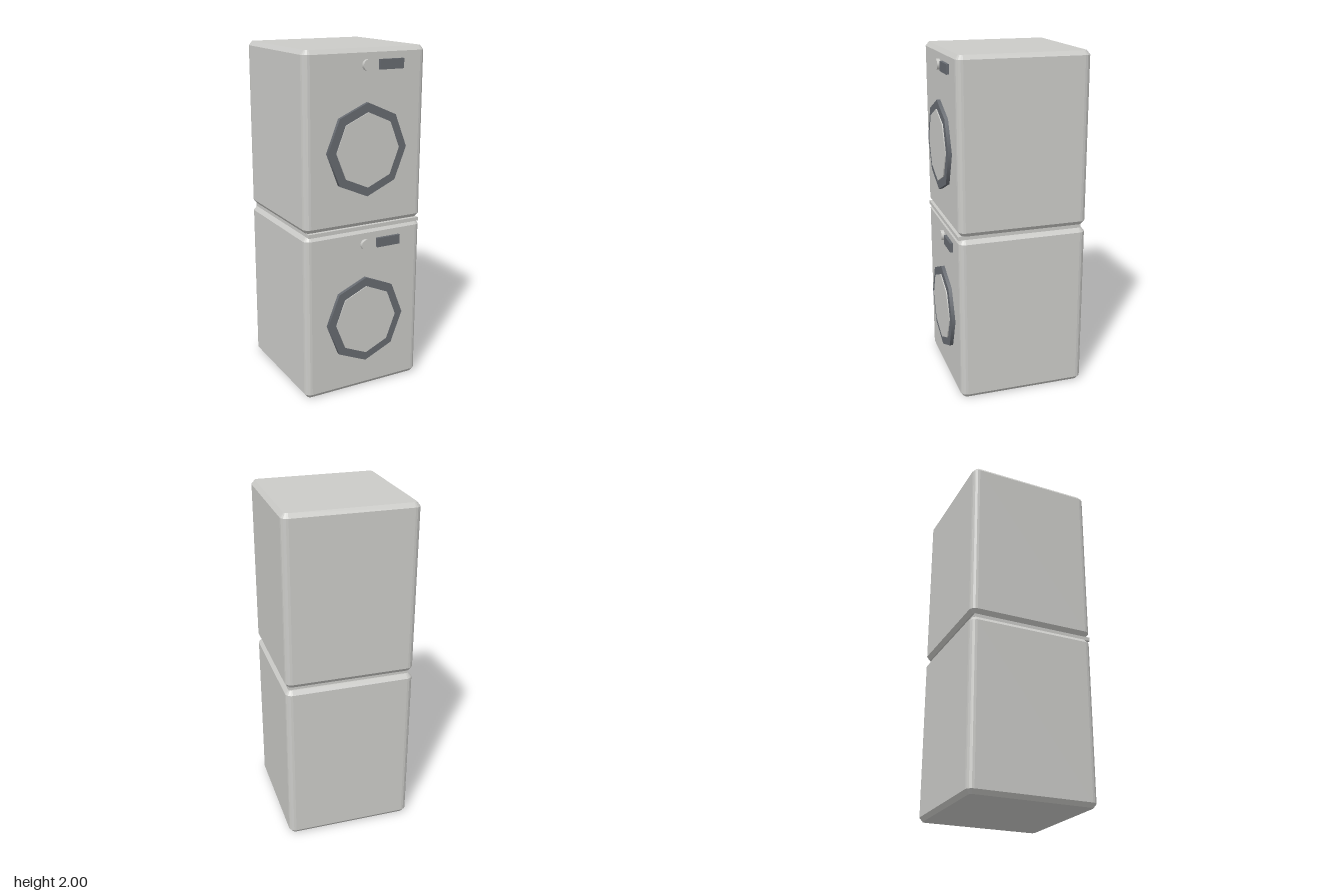
import * as THREE from 'three';

const body = new THREE.MeshStandardMaterial({ color: 0xcbcbc8 });
body.name = 'light grey enamel';
const dark = new THREE.MeshStandardMaterial({ color: 0x676b71 });
dark.name = 'dark grey trim';

function add(parent, name, geometry, material, x, y, z) {
  const mesh = new THREE.Mesh(geometry, material);
  mesh.name = name;
  mesh.position.set(x, y, z);
  parent.add(mesh);
  return mesh;
}

// Box with clipped vertical corners and chamfered top and bottom edges
function cabinetGeometry(w, h, d) {
  const bevel = 0.019, rise = 0.024, r = 0.02;
  const x = w / 2 - bevel, y = d / 2 - bevel;
  const shape = new THREE.Shape();
  shape.absarc(x - r, y - r, r, 0, Math.PI / 2);
  shape.absarc(-x + r, y - r, r, Math.PI / 2, Math.PI);
  shape.absarc(-x + r, -y + r, r, Math.PI, Math.PI * 1.5);
  shape.absarc(x - r, -y + r, r, Math.PI * 1.5, Math.PI * 2);
  const geo = new THREE.ExtrudeGeometry(shape, {
    depth: h - 2 * rise, bevelEnabled: true, bevelSize: bevel,
    bevelThickness: rise, bevelSegments: 1, curveSegments: 2,
  });
  return geo.translate(0, 0, rise).rotateX(-Math.PI / 2);
}

// Cylinder whose axis points to the front, from z = 0 to z = depth
function discGeometry(rx, ry, depth, sides) {
  return new THREE.CylinderGeometry(1, 1, depth, sides)
    .rotateX(Math.PI / 2)
    .scale(rx, ry, 1)
    .translate(0, 0, depth / 2);
}

function createMachine(name) {
  const machine = new THREE.Group();
  machine.name = name;
  const front = 0.36;
  add(machine, 'cabinet', cabinetGeometry(0.755, 0.99, 0.755), body, 0, 0, -0.0145);
  add(machine, 'doorRing', discGeometry(0.248, 0.262, 0.024, 8), dark, 0, 0.44, front);
  add(machine, 'doorPanel', discGeometry(0.197, 0.21, 0.03, 8), body, 0, 0.44, front);
  add(machine, 'knob', discGeometry(0.03, 0.03, 0.022, 16), body, 0, 0.9, front);
  add(machine, 'display', new THREE.BoxGeometry(0.15, 0.055, 0.02), dark, 0.15, 0.9, front + 0.01);
  return machine;
}

export function createModel() {
  const model = new THREE.Group();
  model.name = 'stackedLaundryMachines';
  const lower = createMachine('lowerMachine');
  const upper = createMachine('upperMachine');
  upper.position.y = 1.01;
  model.add(lower, upper);
  // Thin tray between the two machines
  add(model, 'stackingTray', new THREE.BoxGeometry(0.716, 0.022, 0.73), body, 0, 1, 0.001);
  return model;
}
